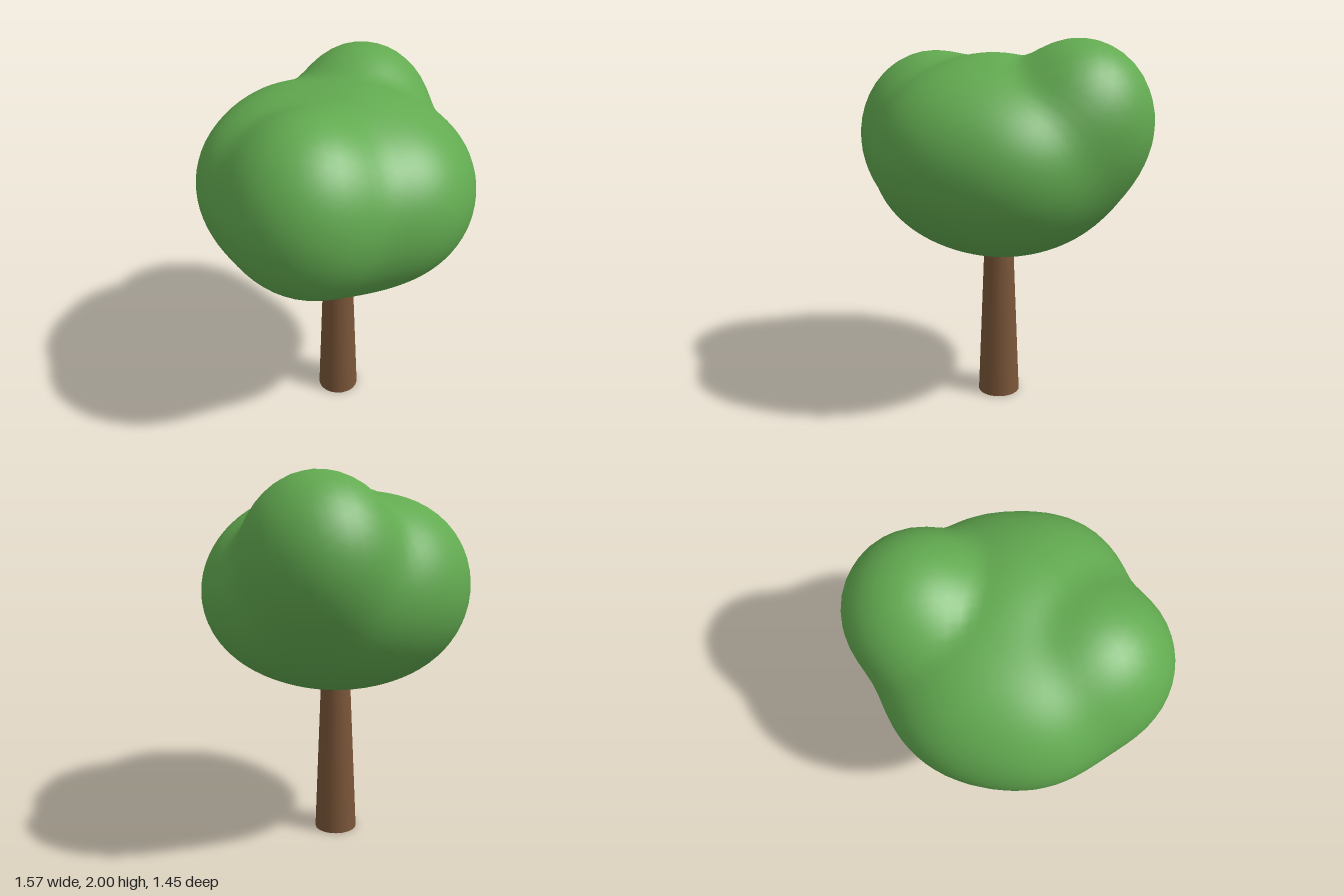
import * as THREE from 'three';
import { mergeVertices } from 'three/addons/utils/BufferGeometryUtils.js';

const leafGreen = new THREE.MeshStandardMaterial({ name: 'leaf green', color: 0x62aa50 });
const barkBrown = new THREE.MeshStandardMaterial({ name: 'bark brown', color: 0x7a5538 });

// Foliage lobes: centre and radii of each ellipsoid
const lobes = [
  { c: [0, 1.365, -0.02], r: [0.695, 0.518, 0.655] },      // main mass
  { c: [0.40, 1.575, -0.185], r: [0.383, 0.422, 0.39] },   // tall left lobe
  { c: [-0.38, 1.475, 0.14], r: [0.405, 0.45, 0.41] },     // right lobe
  { c: [0.02, 1.42, 0.285], r: [0.43, 0.41, 0.428] },      // front lobe
  { c: [-0.03, 1.41, -0.265], r: [0.45, 0.44, 0.44] },     // back lobe
  { c: [-0.23, 1.45, -0.17], r: [0.43, 0.40, 0.43] },      // back right lobe
  { c: [0.2, 1.37, 0.17], r: [0.43, 0.40, 0.42] },         // front left lobe
  { c: [0.02, 1.49, 0.08], r: [0.42, 0.405, 0.40] },       // top ridge
];
const heart = new THREE.Vector3(0, 1.42, 0);

// Distance from the heart to the far side of a lobe along a direction
function reach(dir, { c, r }) {
  const scale = new THREE.Vector3(...r);
  const d = dir.clone().divide(scale);
  const o = heart.clone().sub(new THREE.Vector3(...c)).divide(scale);
  const a = d.dot(d), b = o.dot(d), disc = b * b - a * (o.dot(o) - 1);
  return disc < 0 ? 0 : Math.max(0, (-b + Math.sqrt(disc)) / a);
}

// One smooth skin blended over all the lobes
function crownGeometry() {
  const ball = new THREE.IcosahedronGeometry(1, 13);
  ball.deleteAttribute('normal');
  ball.deleteAttribute('uv');
  const geo = mergeVertices(ball, 1e-4);
  const pos = geo.attributes.position;
  const v = new THREE.Vector3();
  const blend = 0.048;
  for (let i = 0; i < pos.count; i++) {
    v.fromBufferAttribute(pos, i).normalize();
    const sum = lobes.reduce((s, lobe) => s + Math.exp(reach(v, lobe) / blend), 0);
    v.multiplyScalar(blend * Math.log(sum)).add(heart);
    pos.setXYZ(i, v.x, v.y, v.z);
  }
  geo.computeVertexNormals();
  return geo;
}

// Tapered limb between two points
function limb(name, from, to, r0, r1, sides) {
  const a = new THREE.Vector3(...from), b = new THREE.Vector3(...to);
  const axis = b.clone().sub(a);
  const mesh = new THREE.Mesh(new THREE.CylinderGeometry(r1, r0, axis.length(), sides), barkBrown);
  mesh.name = name;
  mesh.position.copy(a).add(b).multiplyScalar(0.5);
  mesh.quaternion.setFromUnitVectors(new THREE.Vector3(0, 1, 0), axis.normalize());
  return mesh;
}

export function createModel() {
  const tree = new THREE.Group();
  tree.name = 'tree';

  const crown = new THREE.Mesh(crownGeometry(), leafGreen);
  crown.name = 'crown';
  tree.add(crown);

  tree.add(limb('trunk', [-0.005, 0, -0.005], [-0.005, 0.95, -0.005], 0.117, 0.078, 20));

  // Branches that leave the trunk just under the foliage
  tree.add(limb('leftBranch', [0.05, 0.85, -0.02], [0.28, 1.15, -0.1], 0.036, 0.025, 8));
  tree.add(limb('rightBranch', [-0.06, 0.85, -0.01], [-0.28, 1.15, 0.08], 0.036, 0.025, 8));
  return tree;
}
